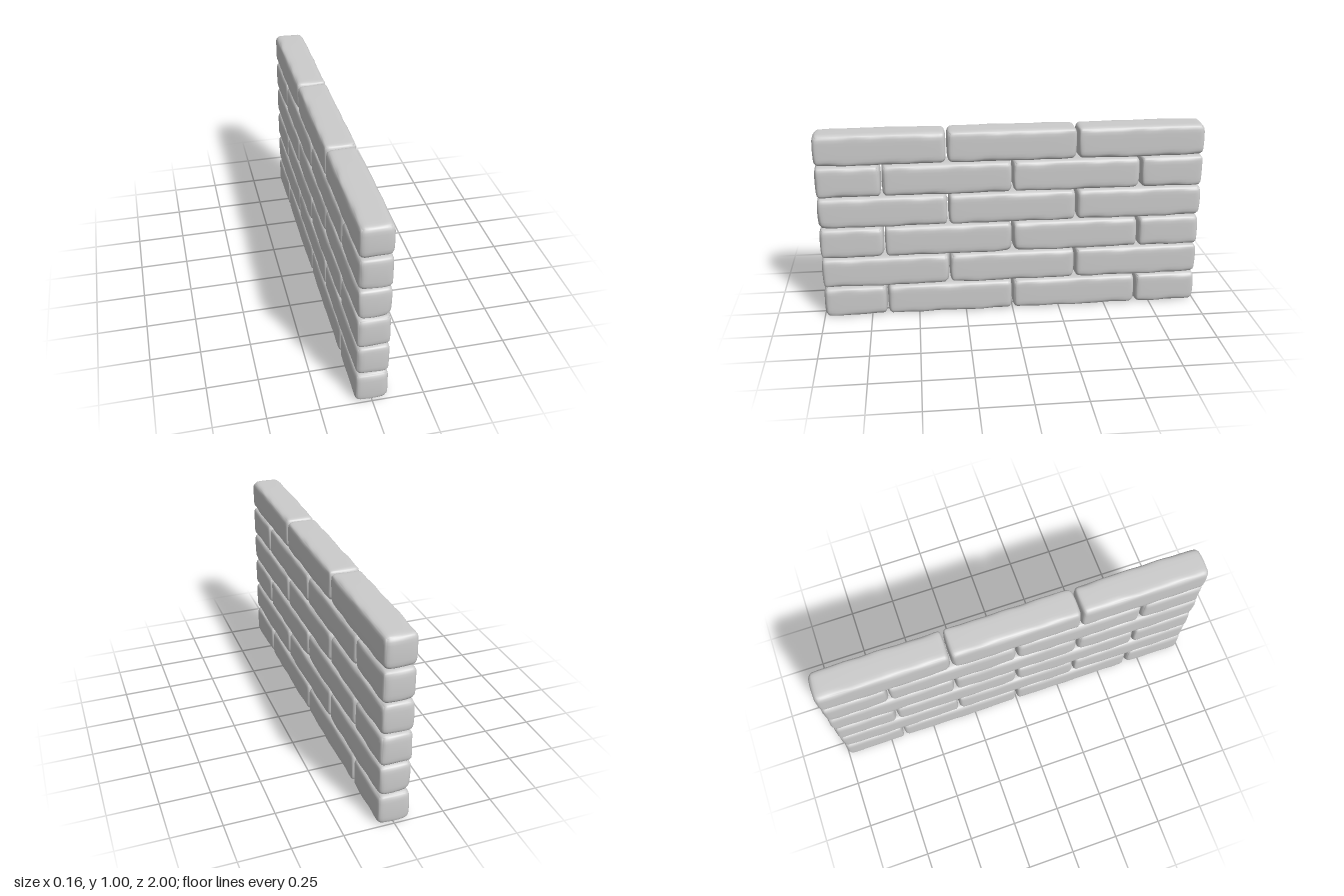
import * as THREE from 'three';
import { mergeVertices } from 'three/addons/utils/BufferGeometryUtils.js';

const ROWS = 6, ROW_HEIGHT = 1 / ROWS, DEPTH = 0.16, BRICK = 2 / 3, GAP = 0.003;

// Smooth waviness, different for each brick, in the range -1..1
function wave(p, seed) {
  return (Math.sin(p.z * 23 + p.x * 17 + seed * 2.1)
    + Math.sin(p.y * 31 - p.z * 13 + seed * 3.7)
    + Math.sin(p.x * 37 + p.y * 19 + p.z * 41 + seed * 1.3)) / 3;
}

// A worn brick: softly domed faces and rounded edges of varying radius
function brickGeometry(length, seed) {
  const half = new THREE.Vector3(DEPTH / 2, (ROW_HEIGHT - GAP) / 2, (length - GAP) / 2);
  let geo = new THREE.BoxGeometry(2, 2, 2, 12, 12, length < BRICK ? 18 : 28);
  geo.deleteAttribute('uv');
  geo.deleteAttribute('normal');
  geo = mergeVertices(geo);
  const pos = geo.attributes.position;
  const p = new THREE.Vector3(), u = new THREE.Vector3(), core = new THREE.Vector3();
  for (let i = 0; i < pos.count; i++) {
    // crowd the grid towards the edges
    u.fromBufferAttribute(pos, i);
    for (const a of ['x', 'y', 'z']) u[a] = Math.sin(u[a] * Math.PI / 2);
    p.copy(u).multiply(half);

    // round the edges
    const r = 0.022 + 0.009 * wave(p, seed);
    for (const a of ['x', 'y', 'z']) core[a] = THREE.MathUtils.clamp(p[a], r - half[a], half[a] - r);
    p.sub(core).setLength(r).add(core);

    // dome the faces
    const dome = (s, t) => 1 - 0.03 * (s ** 4 + t ** 4);
    p.x *= dome(u.y, u.z);
    p.y *= dome(u.x, u.z);
    p.z -= Math.sign(u.z) * Math.abs(u.z) ** 8 * 0.004 * (u.x ** 2 + u.y ** 2);
    pos.setXYZ(i, p.x, p.y, p.z);
  }
  geo.computeVertexNormals();
  return geo;
}

export function createModel() {
  const wall = new THREE.Group();
  wall.name = 'brickWall';
  const material = new THREE.MeshStandardMaterial({ color: 0xcccccc, roughness: 0.9 });
  let seed = 1;

  // Running bond: courses with half bricks at both ends alternate with whole ones
  for (let row = 0; row < ROWS; row++) {
    const course = new THREE.Group();
    course.name = `course${row + 1}`;
    course.position.y = (row + 0.5) * ROW_HEIGHT;
    const lengths = row % 2 ? [BRICK, BRICK, BRICK] : [BRICK / 2, BRICK, BRICK, BRICK / 2];
    let z = -1;
    for (const length of lengths) {
      const brick = new THREE.Mesh(brickGeometry(length, seed++), material);
      brick.name = length < BRICK ? 'halfBrick' : 'brick';
      brick.position.z = z + length / 2;
      z += length;
      course.add(brick);
    }
    wall.add(course);
  }
  return wall;
}
